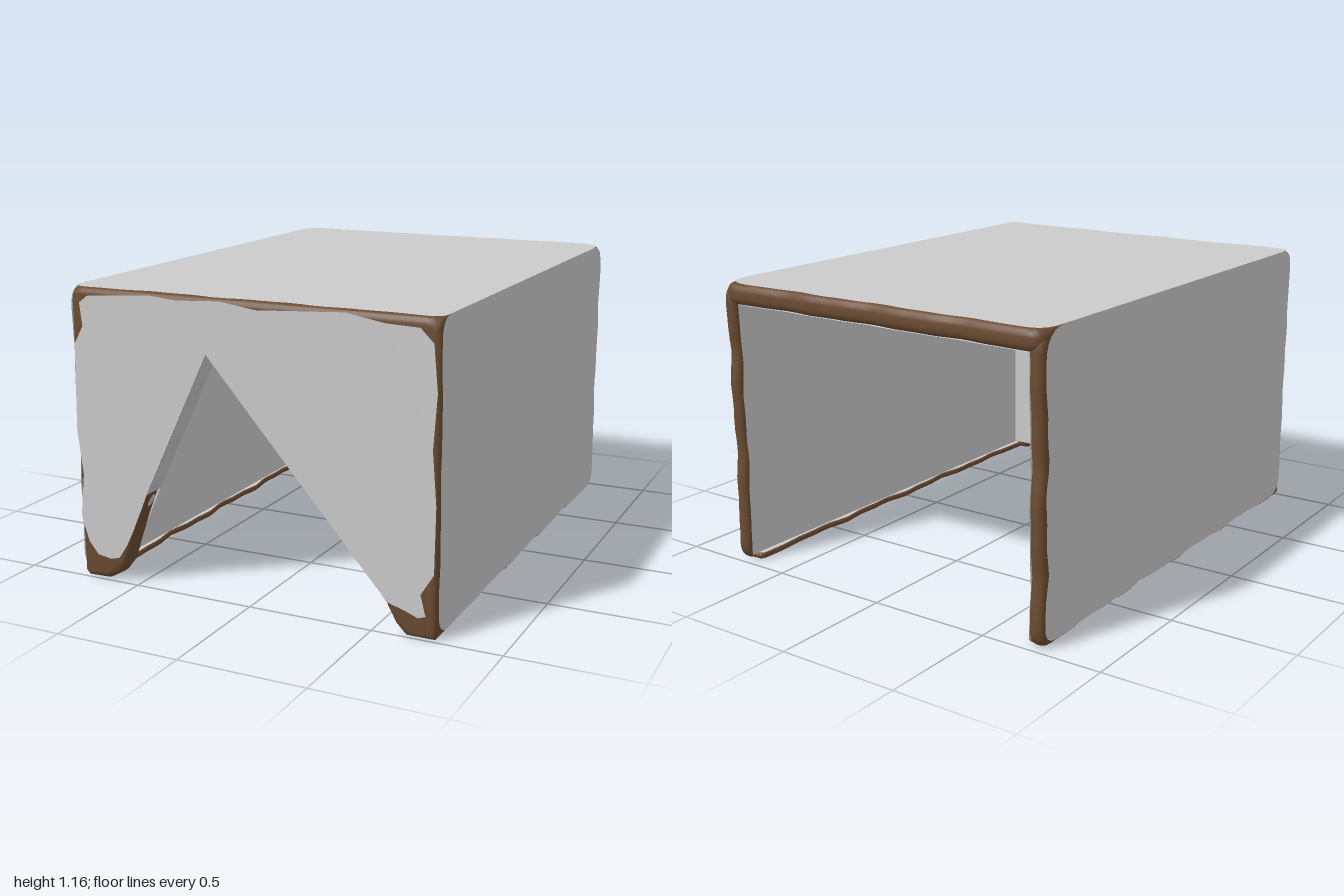
import * as THREE from 'three';
import { toCreasedNormals } from 'three/addons/utils/BufferGeometryUtils.js';

const grey = new THREE.MeshStandardMaterial({ color: 0xcccccc, side: THREE.DoubleSide });
const brown = new THREE.MeshStandardMaterial({ color: 0x6b4c32, side: THREE.DoubleSide });
const W = 0.755, H = 1.16, SKIN = 0.002;
const SIDE = 0.063, ROOF = 0.083, FRONT = 0.09; // wall thicknesses

const V = (x, y) => new THREE.Vector2(x, y);
const points = list => list.map(p => V(p[0], p[1]));

// Rectangle (counter-clockwise) with rounded corners and edges worn inwards.
// radii: per corner, wear: per edge, both from bottom left / bottom edge onwards.
function wornRect(u0, v0, u1, v1, radii, wear, seed) {
  const c = [V(u0, v0), V(u1, v0), V(u1, v1), V(u0, v1)], out = [];
  c.forEach((p, i) => {
    const next = c[(i + 1) % 4], prev = c[(i + 3) % 4];
    const dir = next.clone().sub(p).normalize(), back = prev.clone().sub(p).normalize();
    const inward = V(-dir.y, dir.x), r = radii[i];
    const a = p.clone().addScaledVector(back, r), b = p.clone().addScaledVector(dir, r);
    if (r === 0) out.push(p.clone());
    else out.push(...new THREE.QuadraticBezierCurve(a, p, b).getPoints(6));
    if (wear[i] === 0) return;
    const end = next.clone().addScaledVector(dir, -radii[(i + 1) % 4]);
    const n = Math.ceil(b.distanceTo(end) / 0.05);
    for (let k = 1; k < n; k++) {
      const t = k / n, s = b.distanceTo(end) * t;
      const noise = 0.5 + 0.3 * Math.sin(14 * s + seed + i) + 0.2 * Math.sin(31 * s + 2 * seed);
      const fade = Math.min(1, 5 * t, 5 * (1 - t));
      out.push(b.clone().lerp(end, t).addScaledVector(inward, wear[i] * noise * fade));
    }
  });
  return out;
}

// Rounded brown slab whose outer face lies at z = 0
function slab(name, outline, thickness, bevel) {
  const g = new THREE.ExtrudeGeometry(new THREE.Shape(outline), {
    depth: thickness - 2 * bevel, bevelThickness: bevel, bevelSize: bevel,
    bevelOffset: -bevel, bevelSegments: 4,
  }).translate(0, 0, bevel - thickness);
  const m = new THREE.Mesh(toCreasedNormals(g, 0.7), brown);
  m.name = name;
  return m;
}

// Thin grey face at a given depth
function face(name, outline, z) {
  const m = new THREE.Mesh(new THREE.ShapeGeometry(new THREE.Shape(outline)), grey);
  m.position.z = z;
  m.name = name;
  return m;
}

// Grey scuff on a worn edge
function scuff(length, width) {
  const m = new THREE.Mesh(new THREE.CircleGeometry(1, 10).scale(length, width, 1), grey);
  m.name = 'scuff';
  return m;
}

// Side wall, with its inner foot along the ground
function sideWall(name, seed) {
  const wall = new THREE.Group();
  wall.name = name;
  const panel = new THREE.Group();
  panel.name = 'wallPanel';
  panel.rotation.y = Math.PI / 2;
  panel.position.x = W - SKIN;
  panel.add(
    slab('wallBody', wornRect(-0.997, 0, 0.992, H - SKIN, [0.08, 0.07, 0.08, 0.05], [0.016, 0.016, 0, 0], seed), SIDE, 0.026),
    face('outerFace', wornRect(-0.988, 0.018, 0.972, H, [0.09, 0.07, 0.12, 0.08], [0.012, 0.022, 0, 0.012], seed), SKIN),
    face('innerFace', wornRect(-0.92, 0.024, 0.975, H - ROOF, [0, 0, 0, 0], [0, 0.012, 0, 0], seed), -SIDE - SKIN));
  wall.add(panel);

  const foot = new THREE.Group();
  foot.name = 'wallFoot';
  foot.rotation.x = -Math.PI / 2;
  foot.position.y = 0.025;
  foot.add(
    slab('footBody', wornRect(W - 0.095, -0.96, W - 0.03, 0.95, [0.03, 0.01, 0.01, 0.03], [0, 0, 0, 0.022], seed), 0.023, 0.008),
    face('footTop', wornRect(W - 0.09, -0.95, W - 0.05, 0.94, [0.02, 0, 0, 0.02], [0, 0, 0, 0.022], seed), SKIN));
  wall.add(foot);

  for (let i = 0; i < 10; i++) {
    const s = scuff(0.06 + 0.02 * Math.sin(i * 2.3 + seed), 0.022);
    s.rotation.set(Math.PI / 2, 0, Math.PI / 2);
    s.position.set(W - 0.05, 0, -0.8 + i * 0.18);
    wall.add(s);
  }
  return wall;
}

// Grey strip lining the opening from a to b, through the front wall
function reveal(a, b) {
  const g = new THREE.PlaneGeometry(Math.hypot(b[0] - a[0], b[1] - a[1]), FRONT + 2 * SKIN);
  g.rotateX(Math.PI / 2).rotateZ(Math.atan2(b[1] - a[1], b[0] - a[0]));
  const m = new THREE.Mesh(g, grey);
  m.position.set((a[0] + b[0]) / 2, (a[1] + b[1]) / 2 - SKIN, -FRONT / 2);
  m.name = 'openingReveal';
  return m;
}

// Front wall with a triangular opening
function frontWall() {
  const wall = new THREE.Group();
  wall.name = 'frontWall';
  wall.position.z = 1 - SKIN;
  const w = W - SKIN, h = H - SKIN;
  const apex = [-0.16, 0.95], leftEnd = [-0.44, 0.38], rightEnd = [0.52, 0.17];
  const body = points([[-w, 0.02], [-0.735, 0], [-0.64, 0.003], [-0.59, 0.03], [-0.55, 0.08],
    [-0.52, 0.17], [-0.48, 0.28], leftEnd, apex, rightEnd, [0.59, 0.04], [0.63, 0],
    [0.74, 0], [w, 0.02], [w, h - 0.05], [w - 0.013, h - 0.013], [w - 0.05, h],
    [0.05 - w, h], [0.013 - w, h - 0.013], [-w, h - 0.05]]);
  const outer = points([[-0.75, 0.25], [-0.72, 0.15], [-0.68, 0.1], [-0.62, 0.09], [-0.58, 0.1],
    [-0.54, 0.16], [-0.51, 0.22], [-0.47, 0.31], leftEnd, apex, rightEnd, [0.56, 0.12],
    [0.63, 0.1], [0.68, 0.08], [0.71, 0.09], [0.69, 0.17], [0.74, 0.25], [0.745, 0.5], [0.73, 0.7],
    [0.745, 0.9], [0.73, 1.07], [0.68, 1.12], [0.55, 1.125], [0.4, 1.15], [0.05, 1.13], [-0.1, 1.15],
    [-0.28, 1.14], [-0.4, 1.15], [-0.67, 1.13], [-0.71, 1.1], [-0.7, 1.01], [-0.74, 0.94],
    [-0.75, 0.6], [-0.73, 0.42]]);
  // The inner lining shows as a strip below the right edge of the opening
  const inner = points([[-0.7, 0.03], [-0.6, 0.06], [-0.54, 0.16], leftEnd, [-0.19, 0.9],
    [0.58, 0.03], [0.7, 0.03], [0.7, 1.09], [-0.7, 1.09]]);
  wall.add(slab('frontBody', body, FRONT, 0.025), face('frontOuterFace', outer, SKIN),
    face('frontInnerFace', inner, -FRONT - SKIN), reveal(leftEnd, apex), reveal(apex, rightEnd));

  // Scuffs on the worn lower left edge of the opening
  const along = new THREE.Vector3(0.44, 0.9, 0).normalize();
  const normal = new THREE.Vector3(along.y, -along.x, 0);
  const basis = new THREE.Matrix4().makeBasis(along, normal.clone().cross(along), normal);
  [-0.22, -0.12, -0.04].forEach((t, i) => {
    const s = scuff(0.03 + 0.012 * (i % 2), 0.018);
    s.quaternion.setFromRotationMatrix(basis);
    s.position.set(...leftEnd, -FRONT / 2).addScaledVector(along, t).addScaledVector(normal, 0.006);
    wall.add(s);
  });
  return wall;
}

// Flat roof
function roof() {
  const top = new THREE.Group();
  top.name = 'roof';
  top.rotation.x = -Math.PI / 2;
  top.position.y = H - SKIN;
  const w = W - SKIN;
  top.add(
    slab('roofBody', wornRect(-w, -0.998, w, 1, [0.05, 0.05, 0.08, 0.06], [0, 0, 0.016, 0], 3), ROOF, 0.03),
    face('roofOuterFace', wornRect(-W, -0.985, W, 0.985, [0.07, 0.05, 0.14, 0.09], [0.02, 0, 0.014, 0], 3), SKIN),
    face('roofInnerFace', wornRect(-0.695, -0.92, 0.695, 0.975, [0, 0, 0, 0], [0, 0, 0.01, 0], 3), -ROOF - SKIN));
  return top;
}

export function createModel() {
  const model = new THREE.Group();
  model.name = 'openShelter';
  const right = sideWall('rightWall', 4.2);
  right.scale.x = -1;
  model.add(sideWall('leftWall', 1), right, frontWall(), roof());
  return model;
}
